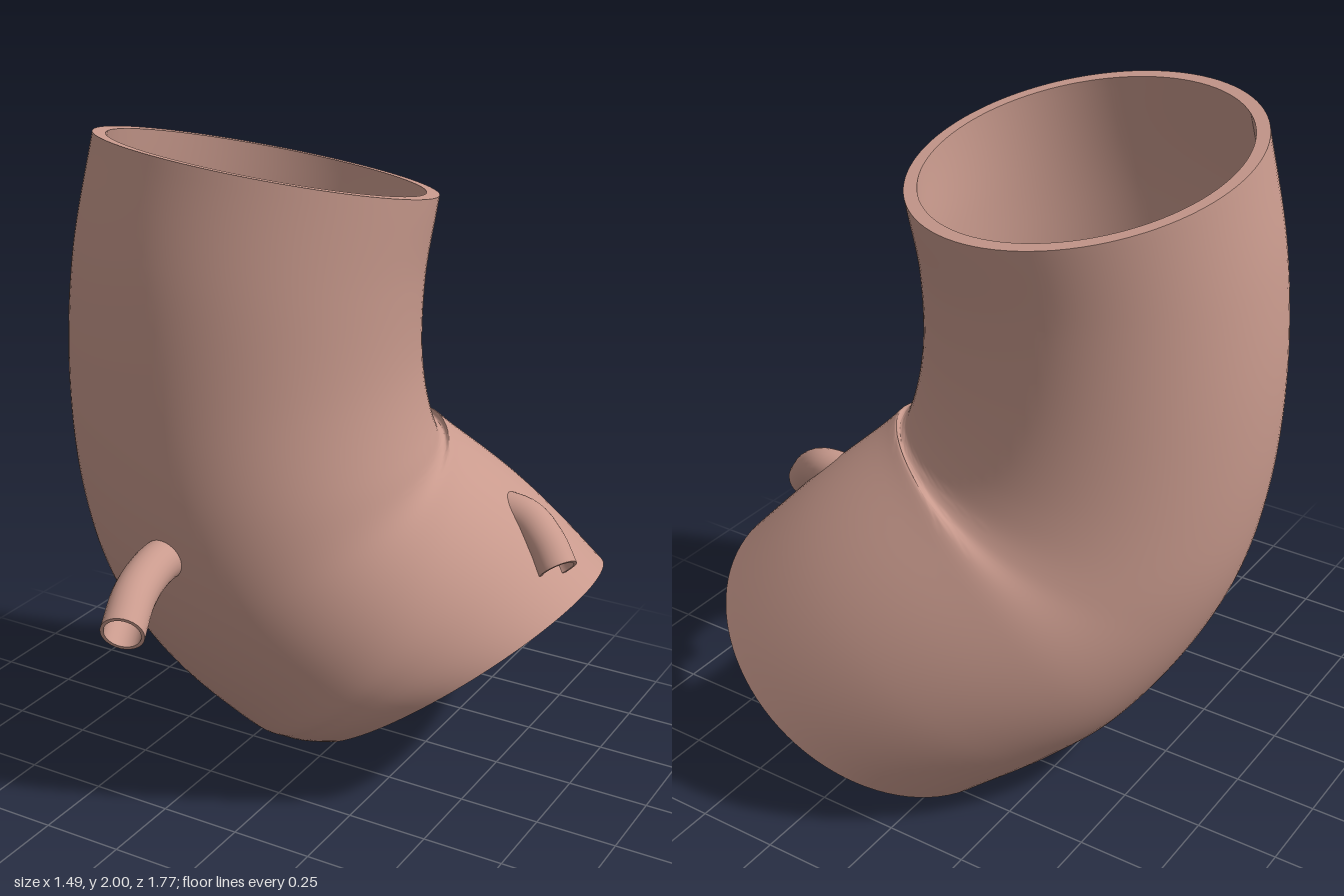
import * as THREE from 'three';
import { toCreasedNormals } from 'three/addons/utils/BufferGeometryUtils.js';

const V = (a) => new THREE.Vector3(a[0], a[1], a[2]);

// Hollow pipe through circular sections: section(t) gives centre, normal, radius and wall.
// Rows run down the outside, then back up the inside, closing at both rims.
function hollowPipe(section, side, rows, segments) {
  const pos = [], index = [];
  const addRing = (t, inner) => {
    const { c, n, r, wall } = section(t);
    const u = side.clone().addScaledVector(n, -side.dot(n)).normalize();
    const v = new THREE.Vector3().crossVectors(n, u);
    const rad = inner ? r - wall : r;
    for (let j = 0; j < segments; j++) {
      const a = (j / segments) * Math.PI * 2;
      const p = c.clone().addScaledVector(u, rad * Math.cos(a)).addScaledVector(v, rad * Math.sin(a));
      pos.push(p.x, p.y, p.z);
    }
  };
  for (let i = 0; i <= rows; i++) addRing(i / rows, false);
  for (let i = rows; i >= 0; i--) addRing(i / rows, true);
  const total = 2 * (rows + 1);
  for (let i = 0; i < total; i++) {
    const k = (i + 1) % total;
    for (let j = 0; j < segments; j++) {
      const m = (j + 1) % segments;
      const a = i * segments + j, b = i * segments + m;
      const c = k * segments + j, d = k * segments + m;
      index.push(a, b, c, b, d, c);
    }
  }
  const g = new THREE.BufferGeometry();
  g.setAttribute('position', new THREE.Float32BufferAttribute(pos, 3));
  g.setIndex(index);
  return toCreasedNormals(g, 0.7);
}

export function createModel() {
  const group = new THREE.Group();
  const flesh = new THREE.MeshStandardMaterial({ name: 'dusty pink', color: 0xc99a8d });
  flesh.side = THREE.DoubleSide;
  const add = (name, geometry) => {
    const mesh = new THREE.Mesh(geometry, flesh);
    mesh.name = name;
    group.add(mesh);
  };

  // Main bent vessel: centre, section normal, radius, from the top rim to the lower rim
  const sections = [
    [[-0.18, 1.89, -0.01], [-0.1, -1, 0.2], 0.5],
    [[-0.215, 1.6, 0.035], [-0.03, -1, 0.08], 0.51],
    [[-0.225, 1.3, 0.045], [0.03, -1, 0], 0.52],
    [[-0.2, 1.02, 0.025], [0.15, -1, -0.1], 0.535],
    [[-0.15, 0.81, -0.03], [0.36, -0.88, -0.28], 0.545],
    [[-0.03, 0.62, -0.15], [0.58, -0.62, -0.5], 0.56],
    [[0.13, 0.47, -0.26], [0.62, -0.72, -0.32], 0.555],
    [[0.31, 0.315, -0.35], [0.59, -0.81, -0.05], 0.532],
  ];
  const spline = (pts) => new THREE.CatmullRomCurve3(pts, false, 'catmullrom', 0.5);
  const centres = spline(sections.map((s) => V(s[0])));
  const normals = spline(sections.map((s) => V(s[1]).normalize()));
  const radii = spline(sections.map((s) => new THREE.Vector3(s[2], 0, 0)));
  add('mainVessel', hollowPipe((t) => ({
    c: centres.getPoint(t),
    n: normals.getPoint(t).normalize(),
    r: radii.getPoint(t).x,
    wall: 0.038 - 0.013 * t,
  }), new THREE.Vector3(0.6, 0, 0.8), 70, 96));

  // Small curved side branches
  const branch = (name, points, r) => {
    const path = spline(points.map(V));
    add(name, hollowPipe((t) => ({
      c: path.getPoint(t), n: path.getTangent(t), r, wall: 0.01,
    }), new THREE.Vector3(0.3, 1, 0.2), 20, 28));
  };
  branch('frontBranch', [[-0.2, 0.86, 0.47], [-0.19, 0.86, 0.6], [-0.155, 0.84, 0.74], [-0.11, 0.79, 0.86]], 0.062);
  branch('leftBranch', [[0.43, 0.84, -0.31], [0.54, 0.83, -0.3], [0.62, 0.785, -0.265], [0.68, 0.72, -0.23]], 0.062);

  return group;
}
